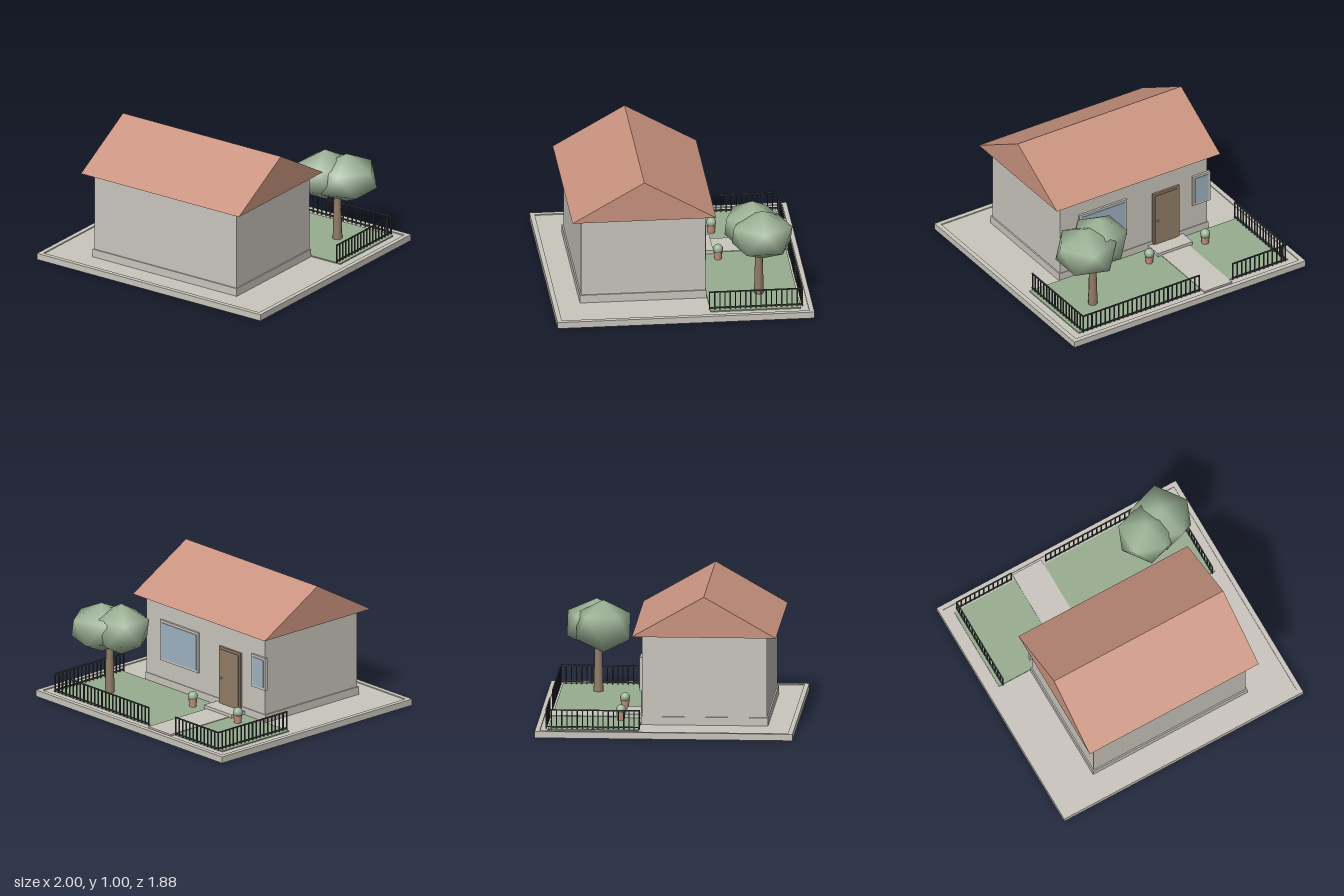
import * as THREE from 'three';
import { mergeVertices } from 'three/addons/utils/BufferGeometryUtils.js';

const mat = (name, color) => {
  const m = new THREE.MeshStandardMaterial({ color });
  m.name = name;
  return m;
};

export function createModel() {
  const model = new THREE.Group();
  model.name = 'houseWithGarden';
  const stone = mat('stone', 0xcac6be);
  const roofTile = mat('roofTile', 0xc9937f);
  const grass = mat('grass', 0x98ad90);
  const leaf = mat('leaf', 0x9db497);
  const wood = mat('wood', 0x937e69);
  const glass = mat('glass', 0xa0b3c3);
  const iron = mat('iron', 0x3c3f42);

  const add = (name, geo, material, x = 0, y = 0, z = 0, parent = model) => {
    const mesh = new THREE.Mesh(geo, material);
    mesh.name = name;
    mesh.position.set(x, y, z);
    parent.add(mesh);
    return mesh;
  };
  // Box given by its limits on each axis
  const box = (name, material, [x0, x1], [y0, y1], [z0, z1], parent = model) =>
    add(name, new THREE.BoxGeometry(x1 - x0, y1 - y0, z1 - z0), material,
      (x0 + x1) / 2, (y0 + y1) / 2, (z0 + z1) / 2, parent);

  // Plot: slab with a slightly raised kerb
  box('slab', stone, [-0.965, 0.965], [0, 0.04], [-0.905, 0.905]);
  for (const s of [-1, 1]) {
    const edge = (a, b) => (s < 0 ? [-b, -a] : [a, b]);
    box('kerbSide', stone, edge(0.965, 1), [0, 0.048], [-0.94, 0.94]);
    box('kerbEnd', stone, [-0.965, 0.965], [0, 0.048], edge(0.905, 0.94));
  }
  box('lawn', grass, [-0.905, 0.905], [0.035, 0.048], [-0.85, -0.19]);
  box('path', stone, [-0.395, -0.155], [0.035, 0.053], [-0.89, -0.3]);
  box('doorStep', stone, [-0.425, -0.125], [0.04, 0.075], [-0.315, -0.18]);

  // House
  box('plinth', stone, [-0.645, 0.645], [0.035, 0.1], [-0.185, 0.74]);
  box('walls', stone, [-0.635, 0.635], [0.1, 0.7], [-0.18, 0.73]);
  const gable = new THREE.Shape([
    new THREE.Vector2(-0.525, 0), new THREE.Vector2(0.525, 0), new THREE.Vector2(0, 0.3),
  ]);
  const roofGeo = new THREE.ExtrudeGeometry(gable, { depth: 1.414, bevelEnabled: false });
  roofGeo.translate(0, 0, -0.707).rotateY(Math.PI / 2);
  add('roof', roofGeo, roofTile, 0, 0.7, 0.275);

  // Windows: raised surround with a pane on its face
  const addWindow = (name, [x0, x1], [y0, y1]) => {
    const g = new THREE.Group();
    g.name = name;
    model.add(g);
    const t = 0.018;
    box('surround', stone, [x0, x1], [y0, y1], [-0.196, -0.175], g);
    box('pane', glass, [x0 + t, x1 - t], [y0 + t, y1 - t], [-0.201, -0.194], g);
  };
  addWindow('largeWindow', [0.065, 0.475], [0.24, 0.55]);
  addWindow('smallWindow', [-0.655, -0.505], [0.29, 0.54]);

  // Door
  box('doorFrame', wood, [-0.39, -0.16], [0.07, 0.51], [-0.196, -0.175]);
  box('doorLeaf', wood, [-0.372, -0.178], [0.07, 0.492], [-0.202, -0.194]);
  add('doorKnob', new THREE.SphereGeometry(0.009, 10, 8), wood, -0.195, 0.275, -0.206);

  // Railings: two rails and evenly spaced bars between two ground points
  const addFence = (name, [xa, za], [xb, zb]) => {
    const g = new THREE.Group();
    g.name = name;
    model.add(g);
    const length = Math.hypot(xb - xa, zb - za);
    const n = Math.round(length / 0.038);
    for (const y of [0.062, 0.185]) {
      const rail = add('rail', new THREE.BoxGeometry(length + 0.008, 0.009, 0.009), iron,
        (xa + xb) / 2, y, (za + zb) / 2, g);
      rail.rotation.y = -Math.atan2(zb - za, xb - xa);
    }
    const bar = new THREE.BoxGeometry(0.008, 0.14, 0.008);
    for (let i = 0; i <= n; i++) {
      const k = i / n;
      add('bar', bar, iron, xa + (xb - xa) * k, 0.118, za + (zb - za) * k, g);
    }
  };
  addFence('rightSideFence', [-0.876, -0.863], [-0.876, -0.185]);
  addFence('leftSideFence', [0.876, -0.863], [0.876, -0.185]);
  addFence('shortGardenFence', [-0.876, -0.863], [-0.42, -0.863]);
  addFence('longGardenFence', [-0.13, -0.863], [0.876, -0.863]);

  // Tree: tapered trunk, two smooth-shaded twenty-sided crowns with upright poles
  add('trunk', new THREE.CylinderGeometry(0.026, 0.036, 0.36, 8), wood, 0.605, 0.225, -0.573);
  let crown = new THREE.IcosahedronGeometry(1, 0);
  crown.rotateZ(-Math.atan(2 / (1 + Math.sqrt(5))));
  crown.deleteAttribute('normal');
  crown.deleteAttribute('uv');
  crown = mergeVertices(crown, 1e-3);
  crown.computeVertexNormals();
  add('innerCrown', crown, leaf, 0.523, 0.545, -0.532).scale.set(0.229, 0.195, 0.229);
  add('outerCrown', crown, leaf, 0.675, 0.536, -0.59).scale.set(0.247, 0.187, 0.252);

  // Potted shrubs on both sides of the path
  for (const x of [-0.518, -0.035]) {
    add('pot', new THREE.CylinderGeometry(0.033, 0.026, 0.06, 12), roofTile, x, 0.075, -0.34);
    add('shrub', new THREE.SphereGeometry(0.037, 12, 8), leaf, x, 0.126, -0.34);
  }
  return model;
}
